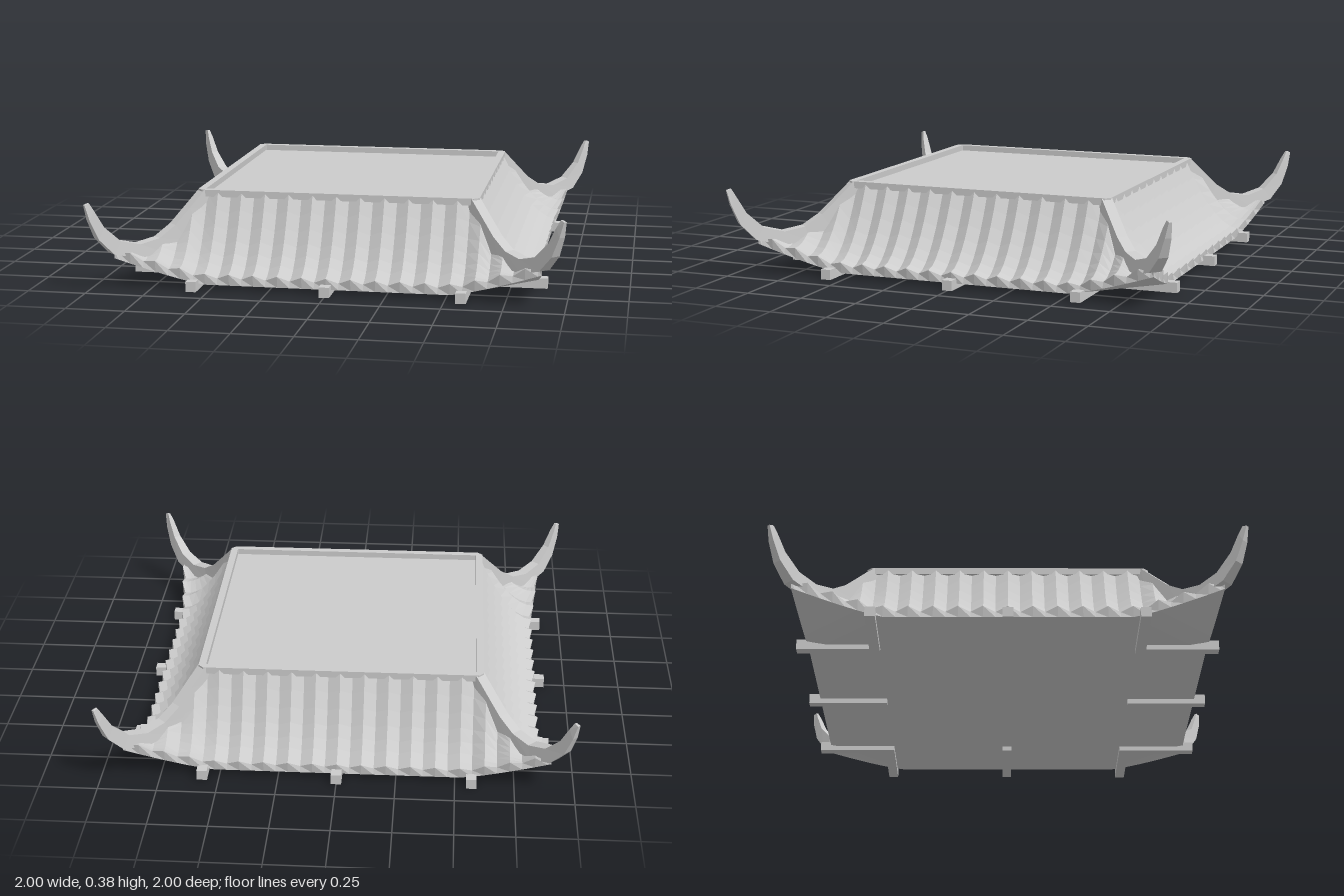
import * as THREE from 'three';

const material = new THREE.MeshStandardMaterial({ color: 0xcccccc, flatShading: true });

// Skin a list of equally long cross-sections ([x, y, z] points)
function loft(sections) {
  const n = sections[0].length, index = [];
  for (let i = 0; i < sections.length - 1; i++) {
    for (let j = 0; j < n - 1; j++) {
      const a = i * n + j, b = a + 1, d = a + n, c = d + 1;
      index.push(a, b, c, a, c, d);
    }
  }
  const g = new THREE.BufferGeometry();
  g.setAttribute('position', new THREE.Float32BufferAttribute(sections.flat(2), 3));
  g.setIndex(index);
  const flat = g.toNonIndexed();
  flat.computeVertexNormals();
  return flat;
}

function mesh(geometry, name) {
  const m = new THREE.Mesh(geometry, material);
  m.name = name;
  return m;
}

// Eave rules: the edge sweeps out and up towards each corner
const STEP = 0.052, TOP = 0.6, CORNER = 0.9, FLAT = 10 * STEP, EAVE = 0.855;
const sweep = x => Math.max(0, (Math.abs(x) - FLAT) / (CORNER - FLAT));
const eaveZ = x => EAVE + (CORNER - EAVE) * sweep(x);
const lift = x => 0.11 * Math.pow(sweep(x), 1.2);
const eaveBottom = x => 0.022 + lift(x);

// Columns of the folded tiles, crest and valley alternating
const columns = [{ x: -CORNER, wave: 0 }];
for (let i = -17; i <= 17; i++) columns.push({ x: i * STEP, wave: i % 2 ? -1 : 1 });
columns.push({ x: CORNER, wave: 0 });

function tileGeometry() {
  const rows = 7;
  return loft(columns.map(({ x, wave }) => {
    const start = Math.max(TOP, Math.abs(x)), end = eaveZ(x), pts = [];
    for (let j = 0; j <= rows; j++) {
      const z = start + (end - start) * j / rows;
      const t = (z - TOP) / (end - TOP);
      const y = 0.06 + 0.31 * Math.pow(1 - t, 1.8) + lift(x) * t;
      pts.push([x, y + 0.011 * wave, z + 0.007 * wave]);
    }
    pts.push([x, eaveBottom(x), end]);
    return pts;
  }));
}

// Upturned soffit triangle below a corner
function cornerSoffitGeometry() {
  return loft(columns.filter(c => c.x > FLAT - 0.001).map(({ x }) =>
    [[x, eaveBottom(x), eaveZ(x)], [eaveZ(x), eaveBottom(x), x]]));
}

// Hip ridge ending in a horn: [upper d, upper y, lower d, lower y, half width]
function ridgeGeometry() {
  const path = [
    [0.595, 0.382, 0.55, 0.30, 0.03], [0.65, 0.31, 0.62, 0.24, 0.03],
    [0.70, 0.245, 0.67, 0.18, 0.03], [0.755, 0.197, 0.74, 0.13, 0.03],
    [0.82, 0.182, 0.83, 0.125, 0.032], [0.885, 0.207, 0.91, 0.155, 0.029],
    [0.937, 0.275, 0.957, 0.225, 0.022], [0.967, 0.35, 0.983, 0.31, 0.015],
    [0.98, 0.382, 0.995, 0.376, 0.007], [0.988, 0.382, 0.988, 0.382, 0]
  ];
  const r = Math.SQRT2;
  return loft(path.map(([ud, uy, ld, ly, w]) => [
    [w * 0.8, uy, ud * r], [-w * 0.8, uy, ud * r],
    [-w, ly, ld * r], [w, ly, ld * r], [w * 0.8, uy, ud * r]
  ]));
}

// Square outline with clipped corners
function clippedSquare(h, c, Type) {
  return new Type([[h, c], [c, h], [-c, h], [-h, c], [-h, -c], [-c, -h], [c, -h], [h, -c]]
    .map(([x, y]) => new THREE.Vector2(x, y)));
}

export function createModel() {
  const model = new THREE.Group();
  model.name = 'roof';
  const tiles = tileGeometry(), soffit = cornerSoffitGeometry(), ridge = ridgeGeometry();
  const beam = new THREE.BoxGeometry(0.044, 0.044, 0.355);

  // Four identical sides
  for (let k = 0; k < 4; k++) {
    const side = new THREE.Group();
    side.name = 'roofSide';
    side.rotation.y = k * Math.PI / 2;
    side.add(mesh(tiles, 'tiles'), mesh(soffit, 'cornerSoffit'));
    const hip = mesh(ridge, 'hipRidge');
    hip.rotation.y = Math.PI / 4;
    side.add(hip);
    for (const x of [-0.57, 0, 0.57]) {
      const b = mesh(beam, 'beam');
      b.position.set(x, 0.022, 0.7275);
      side.add(b);
    }
    model.add(side);
  }

  // Flat underside
  const under = new THREE.ShapeGeometry(clippedSquare(EAVE, FLAT, THREE.Shape));
  under.rotateX(Math.PI / 2).translate(0, eaveBottom(0), 0);
  model.add(mesh(under, 'underside'));

  // Raised rim around the sunken deck
  const rimShape = clippedSquare(0.612, 0.59, THREE.Shape);
  rimShape.holes.push(clippedSquare(0.58, 0.579, THREE.Path));
  const rim = new THREE.ExtrudeGeometry(rimShape, { depth: 0.03, bevelEnabled: false });
  rim.rotateX(-Math.PI / 2).translate(0, 0.352, 0);
  model.add(mesh(rim, 'rim'));
  const deck = mesh(new THREE.BoxGeometry(1.18, 0.02, 1.18), 'deck');
  deck.position.y = 0.346;
  model.add(deck);
  return model;
}
